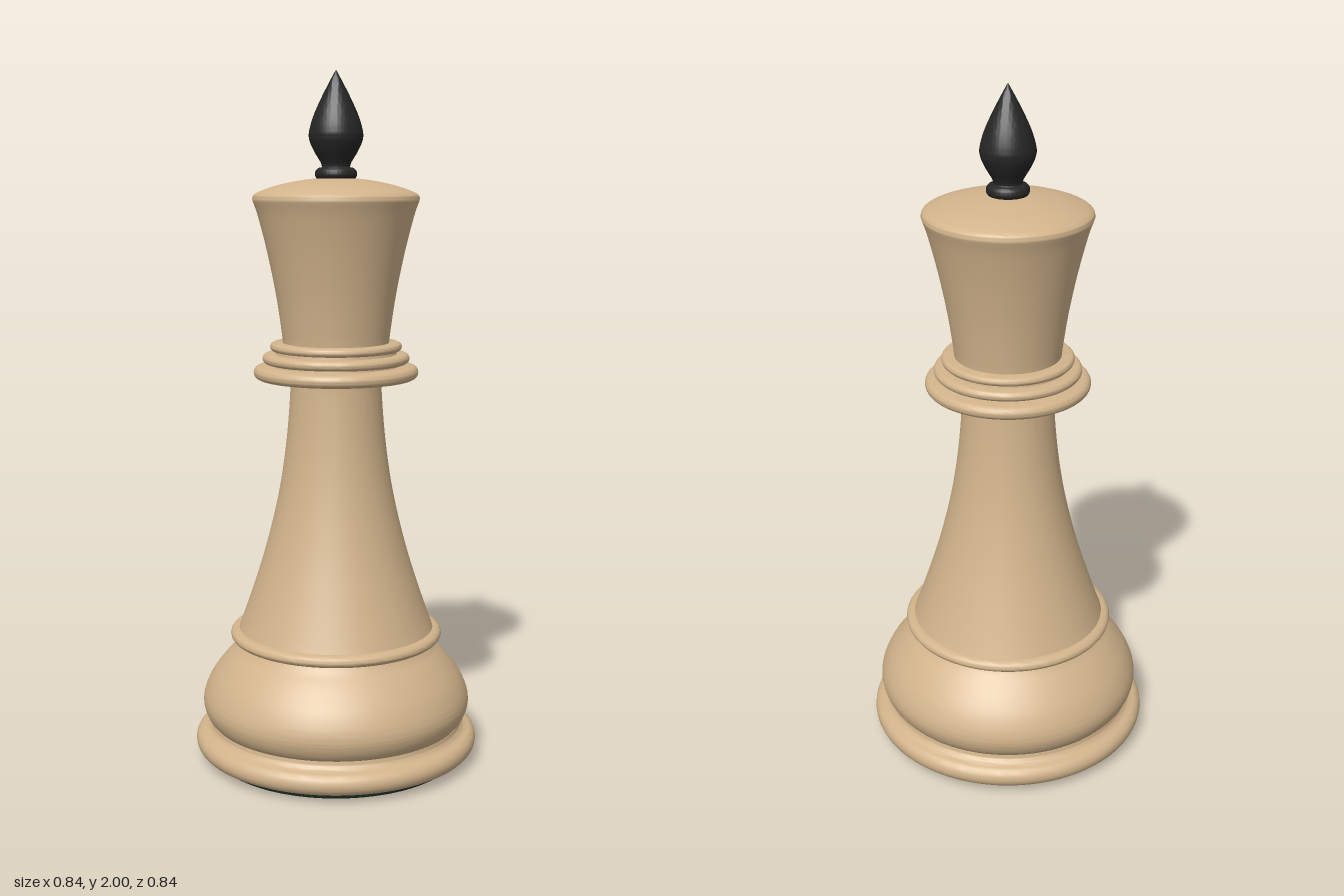
import * as THREE from 'three';
import { toCreasedNormals } from 'three/addons/utils/BufferGeometryUtils.js';

const SEGMENTS = 96;
const wood = new THREE.MeshStandardMaterial({ color: 0xd2b48c });
const ebony = new THREE.MeshStandardMaterial({ color: 0x262626 });
const felt = new THREE.MeshStandardMaterial({ color: 0x14241c });

// Smooth curve through [radius, height] points
const smooth = (pts, n = 24) =>
  new THREE.SplineCurve(pts.map(([r, y]) => new THREE.Vector2(r, y))).getPoints(n);

// Half-round bead: outer radius r, centre height y, half height h, bulging out by w
function bead(r, y, h, w = h, n = 10) {
  return Array.from({ length: n + 1 }, (_, i) => {
    const a = -Math.PI / 2 + (Math.PI * i) / n;
    return new THREE.Vector2(r - w + w * Math.cos(a), y + h * Math.sin(a));
  });
}

// Turned part, listed from the bottom up, closed on the axis at both ends
function turned(name, material, profile) {
  const first = profile[0], last = profile[profile.length - 1];
  const pts = [...profile];
  if (first.x > 0) pts.unshift(new THREE.Vector2(0, first.y));
  if (last.x > 0) pts.push(new THREE.Vector2(0, last.y));
  const mesh = new THREE.Mesh(toCreasedNormals(new THREE.LatheGeometry(pts, SEGMENTS), 0.6), material);
  mesh.name = name;
  return mesh;
}

export function createModel() {
  const model = new THREE.Group();
  model.name = 'chessKing';

  model.add(
    // Base
    turned('feltPad', felt, [new THREE.Vector2(0.365, 0), new THREE.Vector2(0.365, 0.03)]),
    turned('foot', wood, [
      ...bead(0.418, 0.053, 0.032, 0.03),
      ...smooth([[0.383, 0.088], [0.374, 0.097], [0.371, 0.11]], 6),
    ]),
    turned('baseBulge', wood, smooth([
      [0.368, 0.108], [0.381, 0.124], [0.391, 0.146], [0.395, 0.172], [0.388, 0.205],
      [0.365, 0.25], [0.325, 0.3], [0.292, 0.333], [0.277, 0.355],
    ], 40)),
    turned('baseRing', wood, bead(0.312, 0.371, 0.018, 0.025)),

    // Stem
    turned('stem', wood, smooth([
      [0.29, 0.38], [0.275, 0.42], [0.247, 0.5], [0.215, 0.6], [0.188, 0.7],
      [0.166, 0.8], [0.15, 0.9], [0.139, 1.0], [0.132, 1.1], [0.132, 1.14],
    ], 48)),
  );

  // Stacked collar rings
  const collar = new THREE.Group();
  collar.name = 'collar';
  [[0.238, 1.148, 0.019], [0.212, 1.188, 0.014], [0.19, 1.222, 0.012]].forEach(([r, y, h], i) => {
    collar.add(turned(`collarRing${i + 1}`, wood, bead(r, y, h)));
  });
  collar.add(turned('collarCore', wood, [new THREE.Vector2(0.186, 1.15), new THREE.Vector2(0.17, 1.225)]));
  model.add(collar);

  // Flared head with a domed top
  model.add(
    turned('head', wood, [
      ...smooth([[0.152, 1.215], [0.156, 1.26], [0.172, 1.37], [0.196, 1.49], [0.221, 1.59], [0.236, 1.635]], 28),
      ...smooth([[0.238, 1.642], [0.234, 1.653], [0.215, 1.664], [0.16, 1.682], [0.08, 1.697], [0, 1.702]], 28),
    ]),
    // Pointed finial
    turned('finial', ebony, [
      ...bead(0.06, 1.712, 0.018),
      ...smooth([
        [0.04, 1.732], [0.044, 1.745], [0.062, 1.775], [0.075, 1.805], [0.076, 1.83],
        [0.064, 1.872], [0.045, 1.915], [0.022, 1.96], [0, 2],
      ], 40),
    ]),
  );
  return model;
}
